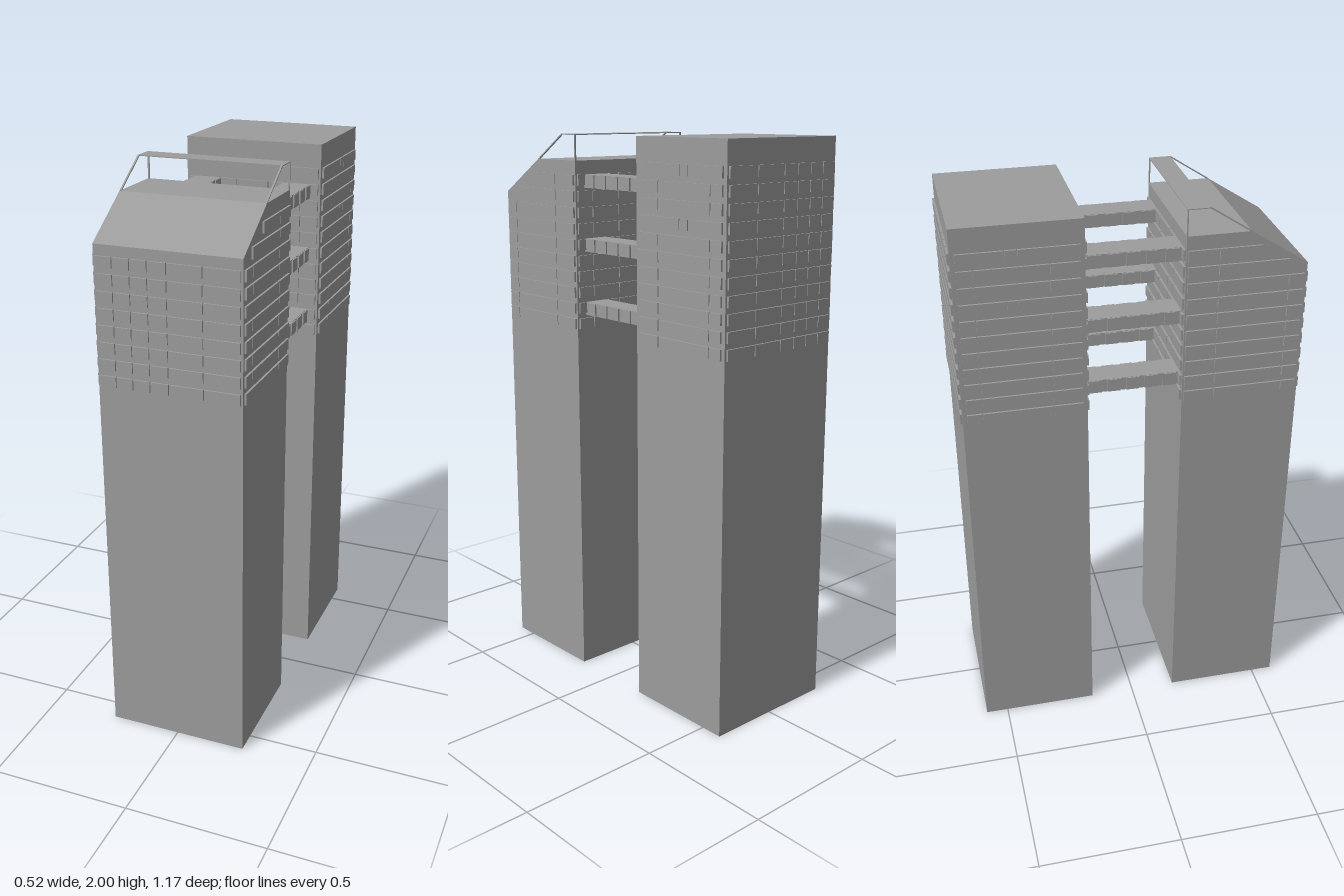
import * as THREE from 'three';

const material = new THREE.MeshStandardMaterial({ color: 0x9c9c9c, flatShading: true, side: THREE.DoubleSide });

const HALF_W = 0.251;
const INNER = 0.165, OUTER = 0.578;            // front tower depth range
const BACK_INNER = -0.161, BACK_OUTER = -0.581; // back tower depth range
const ROW_Y = 1.334, ROW_STEP = 0.0566, ROW_H = 0.037;
const PROUD = 0.007, GAP = 0.003;

function addBox(parent, name, x0, x1, y0, y1, z0, z1) {
  const mesh = new THREE.Mesh(new THREE.BoxGeometry(x1 - x0, y1 - y0, z1 - z0), material);
  mesh.position.set((x0 + x1) / 2, (y0 + y1) / 2, (z0 + z1) / 2);
  mesh.name = name;
  parent.add(mesh);
  return mesh;
}

// One storey of facade panels, split at the given breaks, lying on an x or z face
function addRow(parent, axis, face, row, breaks) {
  const y = ROW_Y + row * ROW_STEP;
  const y0 = y - ROW_H / 2, y1 = y + ROW_H / 2;
  const f0 = face - PROUD, f1 = face + PROUD;
  for (let i = 0; i < breaks.length - 1; i++) {
    const a = breaks[i] + GAP / 2, b = breaks[i + 1] - GAP / 2;
    if (axis === 'z') addBox(parent, 'facadePanel', a, b, y0, y1, f0, f1);
    else addBox(parent, 'facadePanel', f0, f1, y0, y1, a, b);
  }
}

const streetBreaks = [-0.245, -0.185, -0.125, -0.065, 0, 0.12, 0.245];
const innerBreaks = [-0.245, -0.125, -0.06, 0.06, 0.18, 0.245];

function createFrontTower() {
  const tower = new THREE.Group();
  tower.name = 'frontTower';

  // Shaft with a sloping front roof, extruded across the width
  const profile = new THREE.Shape([
    [-OUTER, 0], [-INNER, 0], [-INNER, 1.91], [-0.38, 1.91], [-OUTER, 1.785],
  ].map(([u, v]) => new THREE.Vector2(u, v)));
  const shaft = new THREE.Mesh(
    new THREE.ExtrudeGeometry(profile, { depth: 2 * HALF_W, bevelEnabled: false }), material);
  shaft.rotation.y = Math.PI / 2;
  shaft.position.x = -HALF_W;
  shaft.name = 'frontShaft';
  tower.add(shaft);

  // Open roof frame: a thin canopy on posts and sloping side rails
  addBox(tower, 'roofCanopy', -HALF_W, HALF_W, 1.997, 2, INNER, 0.24);
  const railLength = Math.hypot(0.14, 0.09);
  for (const s of [-1, 1]) {
    const x = s * (HALF_W - 0.003);
    addBox(tower, 'roofPost', x - 0.003, x + 0.003, 1.91, 1.998, INNER, INNER + 0.004);
    const rail = addBox(tower, 'roofRail', x - 0.003, x + 0.003, 1.952, 1.956, 0.31 - railLength / 2, 0.31 + railLength / 2);
    rail.rotation.x = Math.atan2(0.09, 0.14);
  }

  // Facade panels; the upper side rows shorten under the slope
  for (let r = 0; r < 10; r++) {
    if (r < 8) addRow(tower, 'z', OUTER, r, streetBreaks);
    addRow(tower, 'z', INNER, r, innerBreaks);
    const sideBreaks = r < 8 ? [0.17, 0.275, 0.515, 0.57]
      : [0.17, 0.275, r === 8 ? 0.515 : 0.42];
    for (const s of [-1, 1]) addRow(tower, 'x', s * HALF_W, r, sideBreaks);
  }
  return tower;
}

function createBackTower() {
  const tower = new THREE.Group();
  tower.name = 'backTower';
  addBox(tower, 'backShaft', -HALF_W, HALF_W, 0, 2, BACK_OUTER, BACK_INNER);
  for (let r = 0; r < 11; r++) {
    addRow(tower, 'z', BACK_OUTER, r, streetBreaks);
    // The top storey has one unbroken panel on the inner face
    addRow(tower, 'z', BACK_INNER, r, r < 10 ? innerBreaks : [-0.245, 0.245]);
    const sideBreaks = r === 7 || r === 10
      ? [-0.568, -0.415, -0.375, -0.175]
      : [-0.568, -0.515, -0.275, -0.175];
    for (const s of [-1, 1]) addRow(tower, 'x', s * HALF_W, r, sideBreaks);
  }
  return tower;
}

// Pair of walkways at one level, with small panels along both sides
function createSkyBridges(y) {
  const level = new THREE.Group();
  level.name = 'skyBridges';
  for (const cx of [-0.17, 0.166]) {
    addBox(level, 'bridgeDeck', cx - 0.047, cx + 0.047, y - 0.023, y + 0.023, BACK_INNER, INNER);
    for (const s of [-1, 1]) {
      const x = cx + s * 0.047;
      for (let i = -2; i <= 2; i++) {
        const z = i * 0.064;
        addBox(level, 'bridgePanel', x - 0.005, x + 0.005, y - 0.022, y + 0.022, z - 0.022, z + 0.022);
      }
    }
  }
  return level;
}

export function createModel() {
  const model = new THREE.Group();
  model.name = 'twinTowers';
  model.add(createFrontTower(), createBackTower());
  for (const y of [1.387, 1.615, 1.839]) model.add(createSkyBridges(y));
  return model;
}
